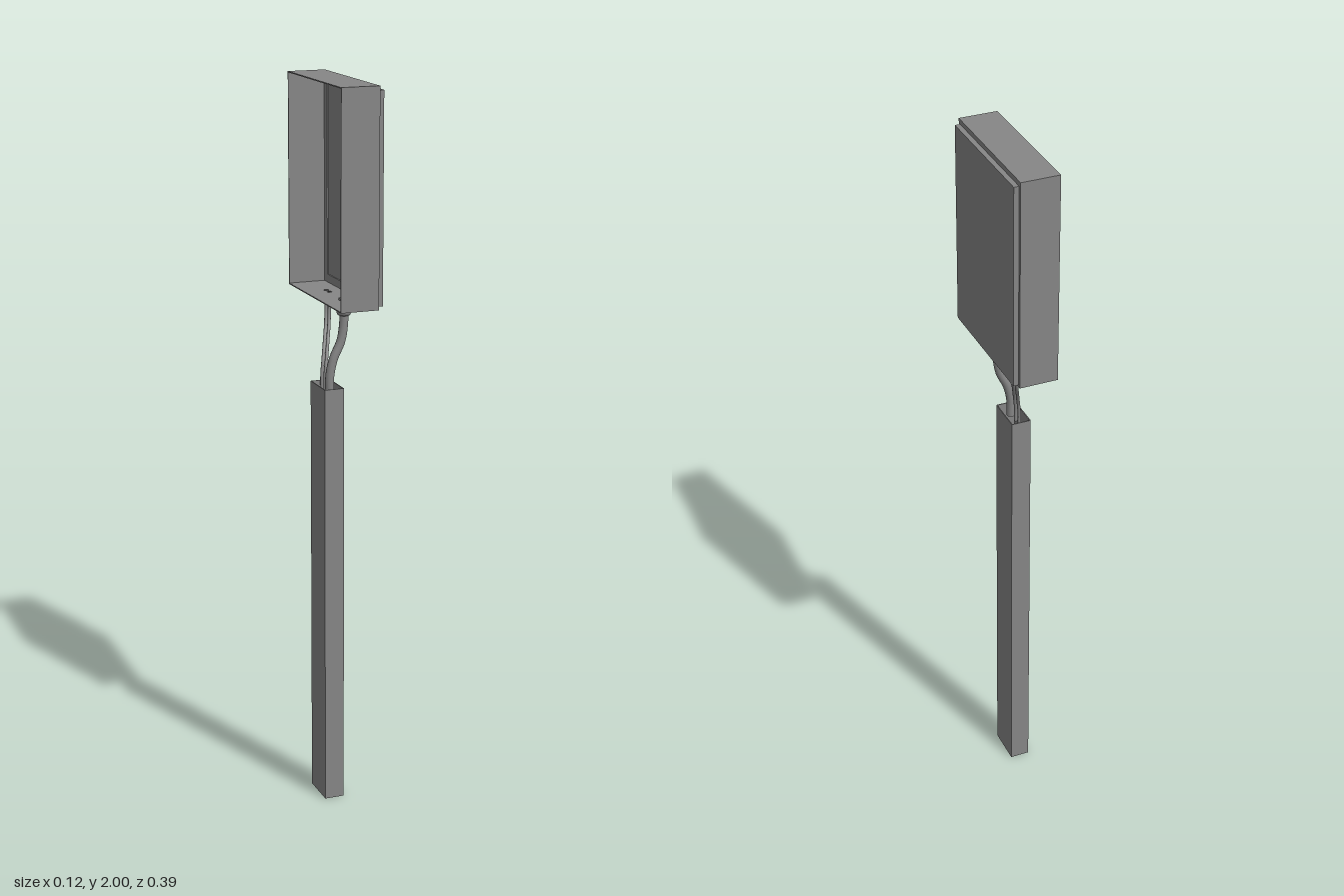
import * as THREE from 'three';

const material = new THREE.MeshStandardMaterial({ color: 0x868686, side: THREE.DoubleSide });

function add(parent, name, geometry, x = 0, y = 0, z = 0) {
  const mesh = new THREE.Mesh(geometry, material);
  mesh.name = name;
  mesh.position.set(x, y, z);
  parent.add(mesh);
}

function rect(PathType, w, h) {
  return new PathType([[-1, -1], [1, -1], [1, 1], [-1, 1]]
    .map(([a, b]) => new THREE.Vector2(a * w / 2, b * h / 2)));
}

// Rectangular plate with holes, extruded along +z
function plate(w, h, depth, holes) {
  const shape = rect(THREE.Shape, w, h);
  shape.holes.push(...holes);
  return new THREE.ExtrudeGeometry(shape, { depth, bevelEnabled: false, curveSegments: 12 });
}

function cable(parent, name, points, radius) {
  const curve = new THREE.CatmullRomCurve3(points.map(p => new THREE.Vector3(...p)));
  add(parent, name, new THREE.TubeGeometry(curve, 32, radius, 12));
}

export function createModel() {
  const model = new THREE.Group();

  // Hollow conduit, open at both ends
  const duct = plate(0.055, 0.107, 1.19, [rect(THREE.Path, 0.05, 0.102)]);
  duct.rotateX(-Math.PI / 2);
  add(model, 'conduit', duct, -0.0355, 0, 0.035);

  // Enclosure, open toward the wall at -x
  const box = new THREE.Group();
  box.name = 'enclosure';
  model.add(box);
  const t = 0.003, x0 = -0.059, x1 = 0.047, y0 = 1.421, y1 = 2;
  const w = x1 - x0, h = y1 - y0, d = 0.391, xc = (x0 + x1) / 2, yc = (y0 + y1) / 2;
  add(box, 'topWall', new THREE.BoxGeometry(w, t, d), xc, y1 - t / 2);
  for (const s of [-1, 1]) {
    add(box, s > 0 ? 'frontWall' : 'backWall', new THREE.BoxGeometry(w, h - 2 * t, t),
      xc, yc, s * (d - t) / 2);
  }

  // Bottom wall with a cable gland hole and two small cable holes
  const holes = [[0.058, 0.014], [-0.049, 0.007], [-0.073, 0.007]].map(([z, r]) =>
    new THREE.Path().absarc(0.003 - xc, -z, r, 0, Math.PI * 2));
  const floor = plate(w, d, t, holes);
  floor.rotateX(-Math.PI / 2);
  add(box, 'bottomWall', floor, xc, y0);

  // Narrow lip around the opening behind the cover
  const lip = plate(d - 2 * t, h - 2 * t, t, [rect(THREE.Path, d - 0.05, h - 0.05)]);
  lip.rotateY(Math.PI / 2);
  add(box, 'frontLip', lip, x1 - t, yc);

  // Cover plate
  add(model, 'cover', new THREE.BoxGeometry(0.014, 0.56, 0.374), 0.055, 1.708, -0.002);

  // Cable gland: collar, threaded stub through the floor and rounded cap
  const gland = new THREE.Group();
  gland.name = 'cableGland';
  gland.position.set(0.003, 0, 0.058);
  model.add(gland);
  add(gland, 'glandCollar', new THREE.CylinderGeometry(0.023, 0.023, 0.014, 20), 0, 1.412);
  add(gland, 'glandThread', new THREE.CylinderGeometry(0.014, 0.014, 0.012, 20), 0, 1.423);
  const cap = [[0.012, 1.382], [0.017, 1.384], [0.02, 1.391], [0.02, 1.405]]
    .map(p => new THREE.Vector2(...p));
  add(gland, 'glandCap', new THREE.LatheGeometry(cap, 20));

  // Thick cable
  cable(model, 'mainCable', [
    [0.003, 1.415, 0.058], [0.003, 1.37, 0.058], [-0.005, 1.315, 0.058],
    [-0.027, 1.265, 0.058], [-0.037, 1.22, 0.058], [-0.038, 1.17, 0.058],
  ], 0.012);

  // Pair of thin cables
  for (const [i, dz] of [0, -0.024].entries()) {
    cable(model, 'thinCable' + (i + 1), [
      [0.003, 1.425, -0.049 + dz], [0.003, 1.38, -0.049 + dz], [-0.003, 1.335, -0.037 + dz],
      [-0.018, 1.29, -0.008 + dz], [-0.03, 1.25, 0.014 + dz],
      [-0.037, 1.21, 0.023 + dz], [-0.038, 1.17, 0.025 + dz],
    ], 0.0045);
  }

  return model;
}
